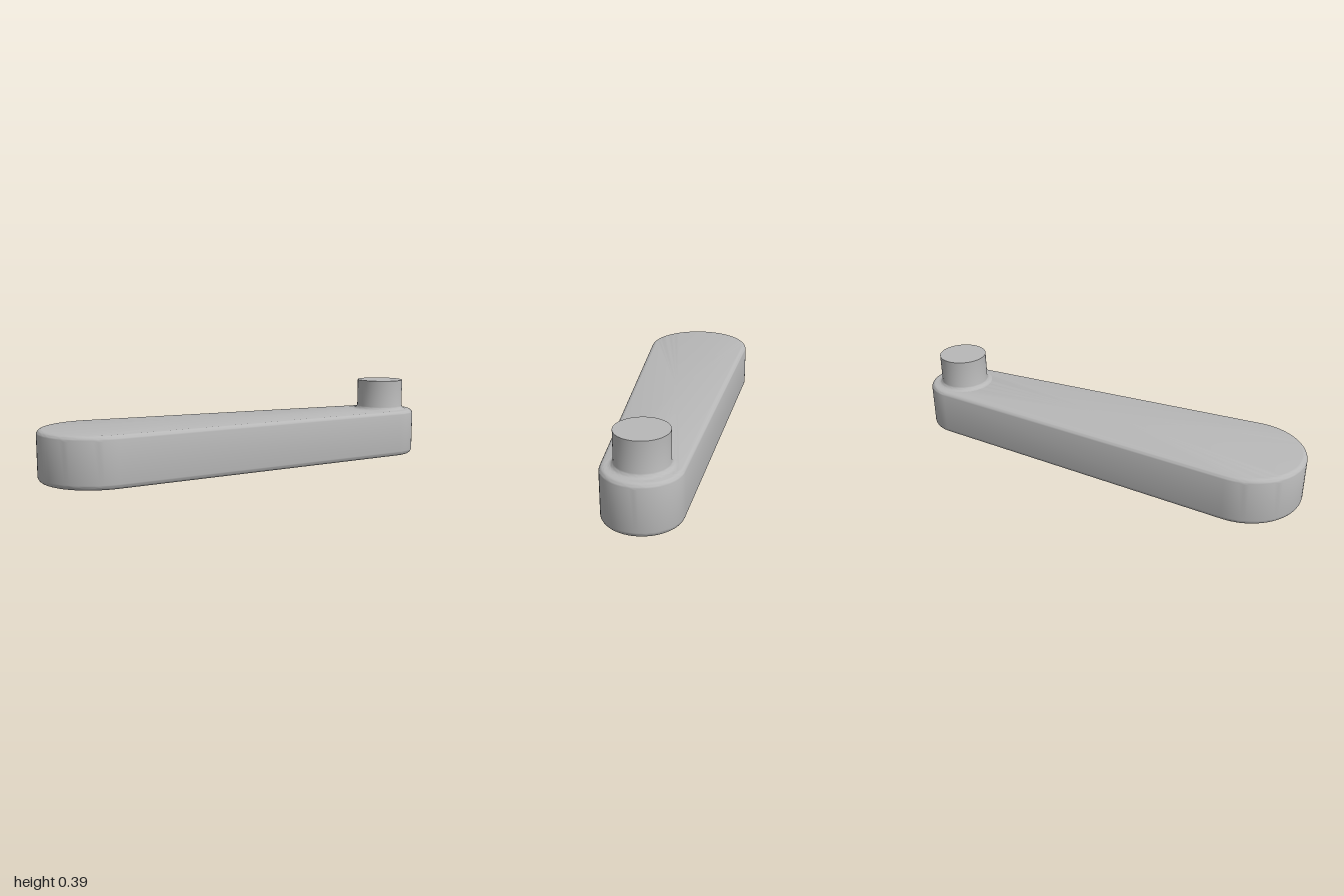
import * as THREE from 'three';
import { toCreasedNormals } from 'three/addons/utils/BufferGeometryUtils.js';

const HUB = { x: -0.73, r: 0.27 };
const TIP = { x: 0.825, r: 0.175 };
const CREASE = 0.6;

// Tapered arm outline (two arcs joined by tangents), inset by d
function outline(d) {
  const phi = Math.acos((HUB.r - TIP.r) / (TIP.x - HUB.x));
  const pts = [];
  const arc = (c, from, to, n) => {
    for (let i = 0; i <= n; i++) {
      const t = from + ((to - from) * i) / n;
      pts.push([c.x + (c.r - d) * Math.cos(t), (c.r - d) * Math.sin(t)]);
    }
  };
  arc(TIP, -phi, phi, 32);
  arc(HUB, phi, 2 * Math.PI - phi, 40);
  return pts;
}

// Quarter-round as [horizontal, y] points
function fillet(cx, cy, r, from, to, n = 6) {
  return Array.from({ length: n + 1 }, (_, i) => {
    const t = from + ((to - from) * i) / n;
    return [cx + r * Math.cos(t), cy + r * Math.sin(t)];
  });
}

// Sweep an [inset, y] profile around the outline; null inset closes to the centre
function sweep(profile) {
  const rings = profile.map(([d, y]) =>
    outline(d ?? 0).map(([x, z]) => (d === null ? [0, y, 0] : [x, y, z])));
  const pos = [];
  for (let i = 0; i < rings.length - 1; i++) {
    const a = rings[i], b = rings[i + 1], n = a.length;
    for (let j = 0; j < n; j++) {
      const k = (j + 1) % n;
      if (profile[i + 1][0] !== null) pos.push(...a[j], ...b[j], ...b[k]);
      if (profile[i][0] !== null) pos.push(...a[j], ...b[k], ...a[k]);
    }
  }
  const g = new THREE.BufferGeometry();
  g.setAttribute('position', new THREE.Float32BufferAttribute(pos, 3));
  return toCreasedNormals(g, CREASE);
}

function lathe(points) {
  const g = new THREE.LatheGeometry(points.map(([x, y]) => new THREE.Vector2(x, y)), 64);
  return toCreasedNormals(g, CREASE);
}

export function createModel() {
  const group = new THREE.Group();
  const metal = new THREE.MeshStandardMaterial({ color: 0xb8b8b8 });
  metal.name = 'grey metal';
  const add = (name, geometry, x = 0) => {
    const mesh = new THREE.Mesh(geometry, metal);
    mesh.name = name;
    mesh.position.x = x;
    group.add(mesh);
  };

  // Hollow arm, open underneath, with rounded outer edges
  const top = 0.235, r = 0.024, wall = 0.028, ceiling = 0.2;
  const inward = ([h, y]) => [-h, y];
  add('armShell', sweep([
    [null, ceiling],
    [wall, ceiling],
    [wall, 0],
    ...fillet(-r, r, r, -Math.PI / 2, 0).map(inward),
    ...fillet(-r, top - r, r, 0, Math.PI / 2).map(inward),
    [null, top],
  ]));

  // Socket ring with a shallow blind bore under the wide end
  add('hubSocket', lathe([
    [0, 0.107], [0.237, 0.107], [0.237, 0.008], [0.243, 0.001],
    [0.248, 0.002], [0.256, 0.012], [0.256, 0.205],
  ]), HUB.x);

  // Handle stub with a flared foot on the narrow end
  add('handleStub', lathe([
    ...fillet(0.117 + 0.024, top + 0.024, 0.024, -Math.PI / 2, -Math.PI),
    [0.117, 0.389], [0, 0.389],
  ]), TIP.x);

  return group;
}
